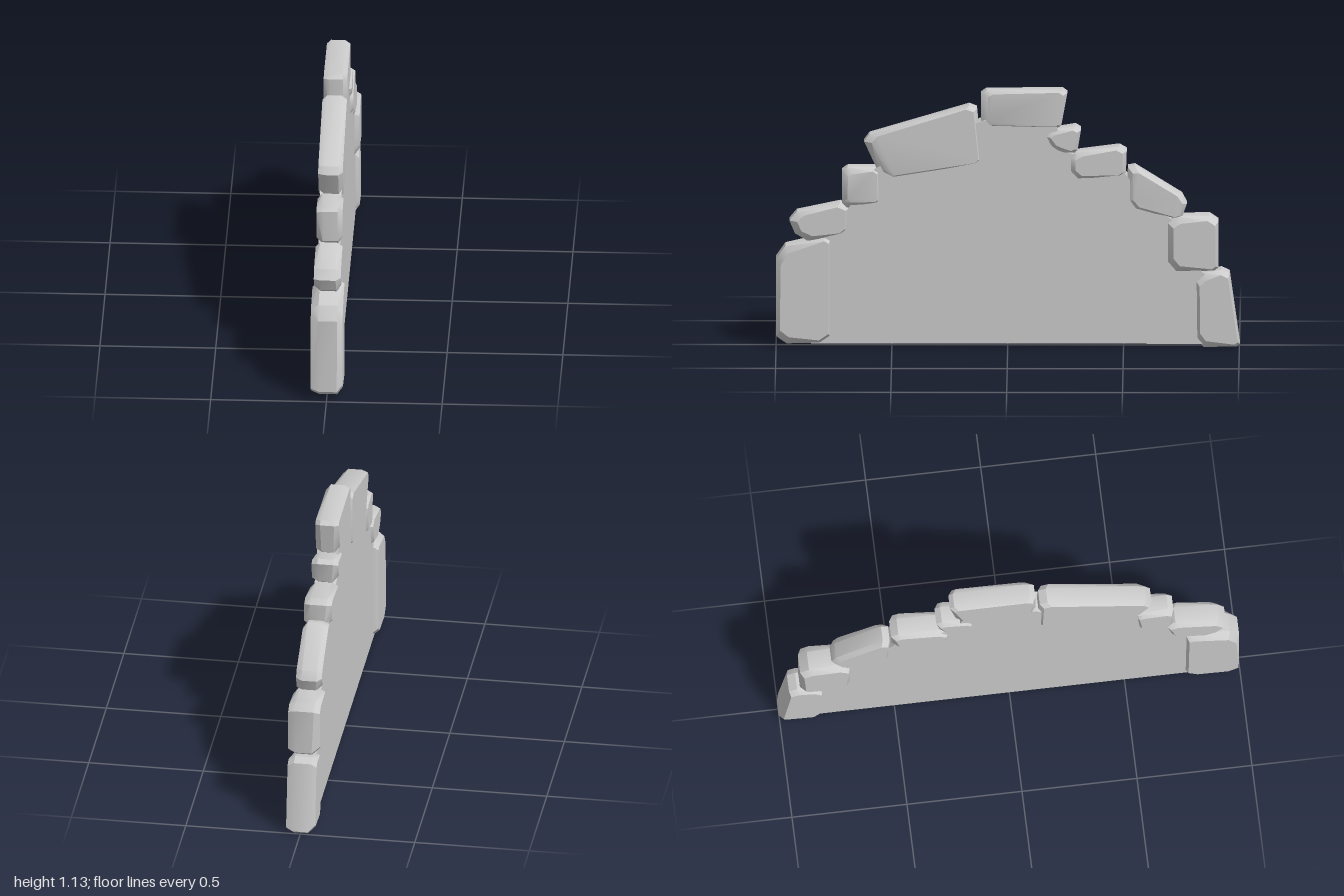
import * as THREE from 'three';
import { ConvexGeometry } from 'three/addons/geometries/ConvexGeometry.js';
import { toCreasedNormals } from 'three/addons/utils/BufferGeometryUtils.js';

const material = new THREE.MeshStandardMaterial({ color: 0xcccccc });

// Each stone: half thickness, corner cut, then four side corners as [z, y]
const STONES = [
  ['frontCornerStone', 0.069, 0.04, [1, 0.015], [0.765, 0.015], [0.765, 0.49], [1, 0.435]],
  ['frontLedgeStone', 0.058, 0.04, [0.955, 0.585], [0.68, 0.64], [0.69, 0.5], [0.9, 0.455]],
  ['frontSmallStone', 0.056, 0.02, [0.715, 0.79], [0.55, 0.79], [0.55, 0.63], [0.715, 0.61]],
  ['longSlopeStone', 0.053, 0.03, [0.63, 0.925], [0.135, 1.07], [0.11, 0.81], [0.54, 0.73]],
  ['capStone', 0.051, 0.02, [0.115, 1.13], [-0.26, 1.13], [-0.23, 0.965], [0.115, 0.965]],
  ['backPebble', 0.058, 0.025, [-0.145, 0.95], [-0.32, 0.975], [-0.3, 0.855], [-0.195, 0.85]],
  ['backLedgeStone', 0.06, 0.03, [-0.26, 0.855], [-0.515, 0.885], [-0.51, 0.755], [-0.265, 0.735]],
  ['backSlopeStone', 0.056, 0.03, [-0.52, 0.815], [-0.78, 0.65], [-0.75, 0.56], [-0.51, 0.61]],
  ['backBlockStone', 0.069, 0.035, [-0.69, 0.577], [-0.91, 0.577], [-0.91, 0.335], [-0.69, 0.335]],
  ['backCornerStone', 0.063, 0.03, [-0.81, 0.32], [-0.955, 0.345], [-1.004, 0], [-0.815, 0]],
];

// Convex rock: four corners cut off, then chamfered in towards both faces
function stoneGeometry(half, cut, corners) {
  const quad = corners.map(([z, y]) => new THREE.Vector3(0, y, z));
  const centre = new THREE.Vector3();
  quad.forEach((corner) => centre.addScaledVector(corner, 0.25));
  const points = [];
  quad.forEach((corner, i) => {
    [quad[(i + 3) % 4], quad[(i + 1) % 4]].forEach((neighbour, j) => {
      const toNeighbour = neighbour.clone().sub(corner);
      const amount = cut * (0.8 + 0.4 * Math.sin(i * 2.3 + j));
      const edge = corner.clone().addScaledVector(toNeighbour.normalize(), amount);
      for (const side of [-1, 1]) {
        const rim = edge.clone();
        rim.x = side * half * (0.56 + 0.1 * Math.sin(i * 2.3 + side));
        const inset = (0.024 + 0.01 * Math.sin(i * 1.7 + side * 2)) / edge.distanceTo(centre);
        const face = edge.clone().lerp(centre, inset);
        face.x = side * half;
        points.push(rim, face);
      }
    });
  });
  return toCreasedNormals(new ConvexGeometry(points), 0.55);
}

// Flat slab filling the space behind the stepped stones
function wallGeometry(halfWidth) {
  const outline = [[0.85, 0.015], [0.85, 0.4], [0.72, 0.56], [0.58, 0.78], [0.45, 0.86],
    [0.1, 1], [-0.2, 1], [-0.25, 0.86], [-0.48, 0.8], [-0.54, 0.72],
    [-0.73, 0.54], [-0.76, 0.4], [-0.9, 0.28], [-0.9, 0.015]];
  const shape = new THREE.Shape(outline.map(([z, y]) => new THREE.Vector2(z, y)));
  const geometry = new THREE.ExtrudeGeometry(shape, { depth: halfWidth * 2, bevelEnabled: false });
  return geometry.translate(0, 0, -halfWidth).rotateY(-Math.PI / 2);
}

export function createModel() {
  const group = new THREE.Group();
  group.name = 'stoneEdgedWall';

  const wall = new THREE.Mesh(wallGeometry(0.047), material);
  wall.name = 'wallSlab';
  group.add(wall);

  for (const [name, half, cut, ...corners] of STONES) {
    const stone = new THREE.Mesh(stoneGeometry(half, cut, corners), material);
    stone.name = name;
    group.add(stone);
  }
  return group;
}
